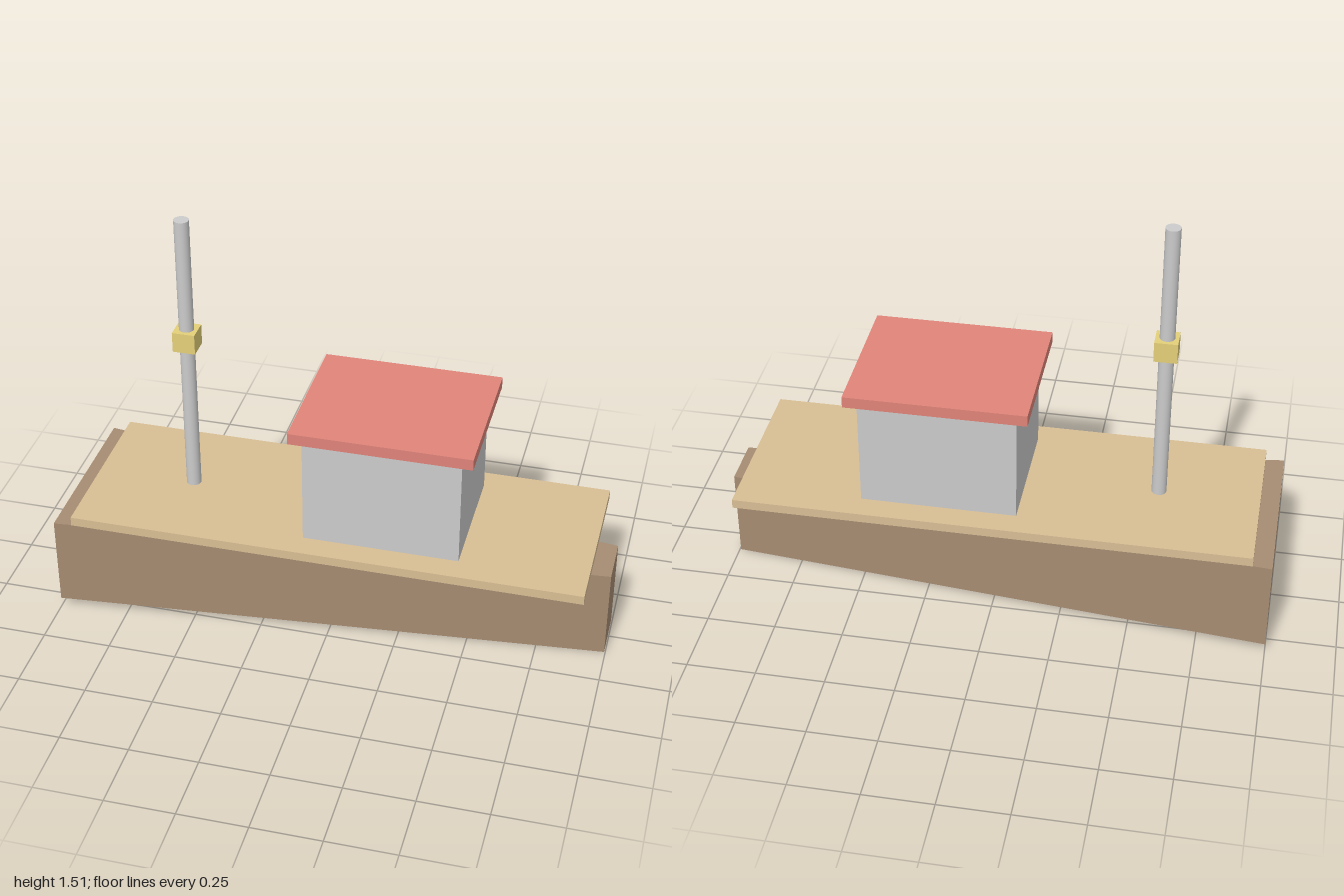
import * as THREE from 'three';

const material = (color) => new THREE.MeshStandardMaterial({ color });

function add(group, name, geometry, color, x, y, z = 0) {
  const mesh = new THREE.Mesh(geometry, material(color));
  mesh.name = name;
  mesh.position.set(x, y, z);
  group.add(mesh);
  return mesh;
}

// Box given by its x and y limits and full depth, centred on z = 0
function addBlock(group, name, color, x0, x1, y0, y1, depth) {
  return add(group, name, new THREE.BoxGeometry(x1 - x0, y1 - y0, depth), color, (x0 + x1) / 2, (y0 + y1) / 2);
}

// Wedge hull: narrows toward the bow (+x) and slopes gently down
function hullGeometry() {
  const geometry = new THREE.BoxGeometry(2, 0.343, 2);
  const p = geometry.attributes.position;
  for (let i = 0; i < p.count; i++) {
    const bow = p.getX(i) > 0;
    p.setX(i, bow ? 0.996 : -1);
    p.setY(i, p.getY(i) + (bow ? -0.018 : 0.018));
    p.setZ(i, Math.sign(p.getZ(i)) * (bow ? 0.093 : 0.322));
  }
  geometry.computeVertexNormals();
  return geometry;
}

export function createModel() {
  const boat = new THREE.Group();
  boat.name = 'boat';

  add(boat, 'hull', hullGeometry(), 0xa68c72, 0, 0.193);
  addBlock(boat, 'deck', 0xd8be94, -0.932, 0.93, 0.387, 0.421, 0.646);

  // Cabin and its overhanging roof
  addBlock(boat, 'cabin', 0xcccccc, -0.088, 0.475, 0.425, 0.836, 0.475);
  addBlock(boat, 'cabinRoof', 0xe0847a, -0.131, 0.518, 0.839, 0.881, 0.538);

  // Mast with a square collar
  add(boat, 'mast', new THREE.CylinderGeometry(0.027, 0.027, 1.084, 24), 0xcccccc, -0.568, 0.967);
  addBlock(boat, 'mastCollar', 0xe4d078, -0.609, -0.527, 1.003, 1.079, 0.082);

  return boat;
}
